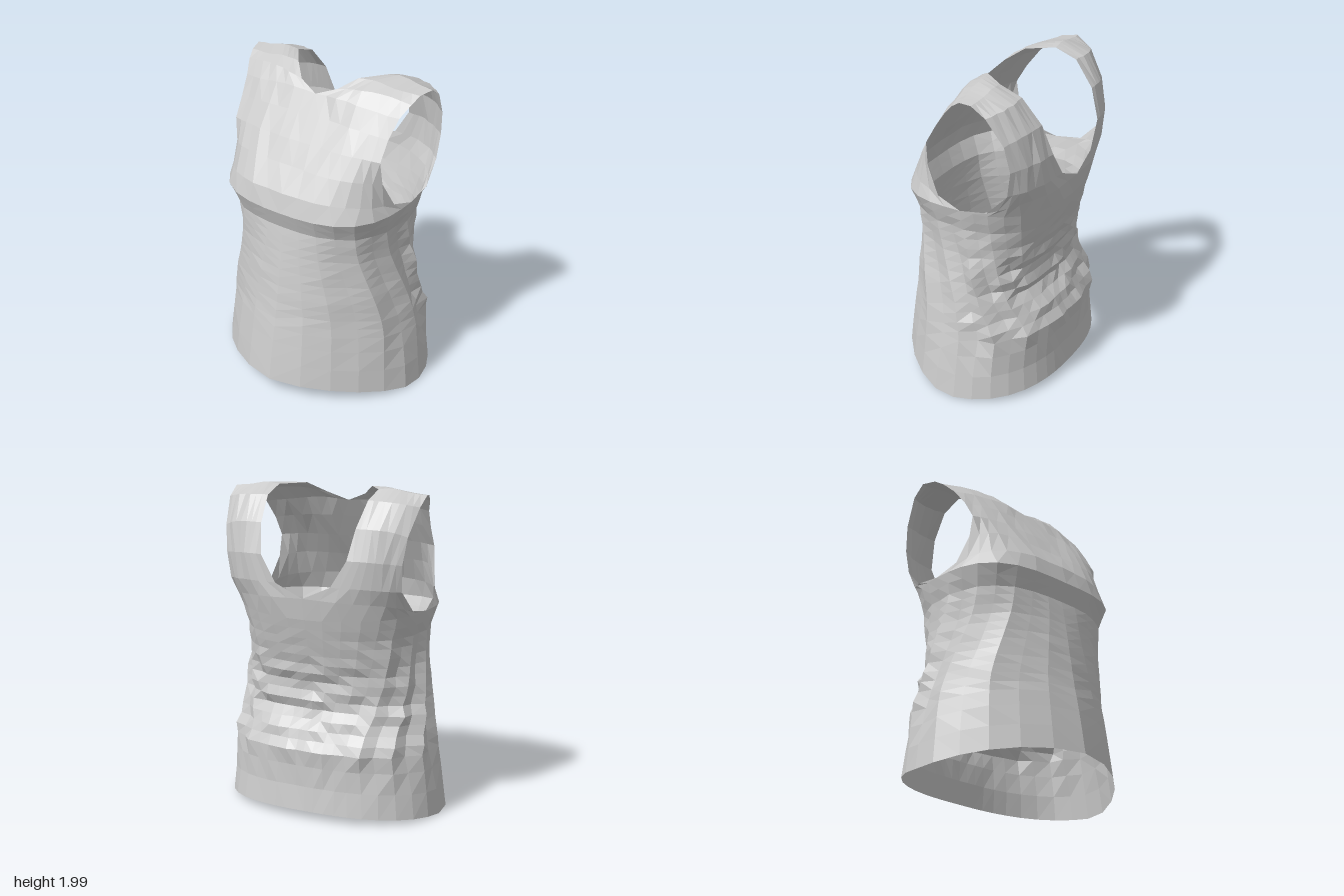
import * as THREE from 'three';

const N = 8; // columns per quarter of the body
const cloth = new THREE.MeshStandardMaterial({ color: 0xcccccc, flatShading: true, side: THREE.DoubleSide });

// Skin rows of points (bottom to top, left to right) into a mesh
function skin(name, rows, flip = false) {
  const w = rows[0].length, index = [];
  const tri = (a, b, c) => (flip ? index.push(a, c, b) : index.push(a, b, c));
  for (let i = 0; i < rows.length - 1; i++) {
    for (let j = 0; j < w - 1; j++) {
      const a = i * w + j, b = a + 1, c = a + w, d = c + 1;
      // split each quad along its shorter diagonal
      const [pa, pb] = [rows[i][j], rows[i][j + 1]], [pc, pd] = [rows[i + 1][j], rows[i + 1][j + 1]];
      if (pa.distanceTo(pd) < pb.distanceTo(pc)) { tri(a, b, d); tri(a, d, c); }
      else { tri(a, b, c); tri(b, d, c); }
    }
  }
  const g = new THREE.BufferGeometry().setFromPoints(rows.flat());
  g.setIndex(index);
  g.computeVertexNormals();
  const mesh = new THREE.Mesh(g, cloth);
  mesh.name = name;
  return mesh;
}

// Body profile, hem to bust: height, half width, front z, back z, front squareness
const profile = [
  [0.05, 0.70, 0.56, -0.56, 1.65],
  [0.25, 0.675, 0.53, -0.535, 1.7],
  [0.43, 0.645, 0.50, -0.55, 1.75],
  [0.53, 0.63, 0.48, -0.50, 1.8],
  [0.63, 0.61, 0.465, -0.435, 1.9],
  [0.80, 0.58, 0.44, -0.425, 2.0],
  [0.97, 0.555, 0.415, -0.465, 2.2],
  [1.12, 0.555, 0.39, -0.505, 2.7],
  [1.18, 0.575, 0.41, -0.52, 2.8],
  [1.24, 0.59, 0.43, -0.535, 3.0],
];

function sampleProfile(y) {
  let i = 0;
  while (i < profile.length - 2 && y > profile[i + 1][0]) i++;
  const p = profile[i], q = profile[i + 1];
  const k = THREE.MathUtils.clamp((y - p[0]) / (q[0] - p[0]), 0, 1);
  return p.map((v, n) => v + (q[n] - v) * k);
}

const bump = (v, lo, hi) => (v <= lo || v >= hi ? 0 : Math.sin(((v - lo) / (hi - lo)) * Math.PI));
const noise = (i, j) => { const s = Math.sin(i * 12.99 + j * 78.23) * 43758.55; return s - Math.floor(s) - 0.5; };

// Point on the body: t is the angle, 0 at the front, PI at the back, positive towards +x
function bodyPoint(t, y, wrinkle = 0) {
  const [, a, zf, zb, nf] = sampleProfile(y);
  const k = y / 1.24, zs = -0.04 - 0.06 * k;
  const s = Math.sin(t), c = Math.cos(t), n = c > 0 ? nf : 2.4;
  const r = (Math.abs(s) ** n + Math.abs(c) ** n) ** (-1 / n) * (1 + wrinkle);
  // the hem falls in a straight line to its low points at the sides
  const hem = (c > 0 ? 0.1 : 0.06) * Math.abs(c) - 0.045;
  return new THREE.Vector3(a * r * s, y + hem * (1 - k) + 0.03 * s * s * k ** 6, zs + (c > 0 ? zf - zs : zs - zb) * r * c);
}

// Columns sweep backwards as they go down, so the pleats fan out from the bust
const sweep = (t, y) => t + 0.55 * Math.sin(t) * THREE.MathUtils.smoothstep(1.24 - y, 0, 0.85);

// Pleats along the swept columns, and bunched wrinkles at the small of the back
function foldDepth(t, y, i, j) {
  const u = Math.abs(t), col = Math.abs(j);
  const ridge = [1, -0.7, 0.3, -1][(col + (j < 0 ? 1 : 0)) % 4];
  const pleats = bump(y, 0.22, 1.22) * bump(col, 1, 13) * ridge;
  const bunch = bump(u, 1.7, 4.58) * bump(y, 0.42, 1.05)
    * Math.sin((y + 0.1 * u + 0.03 * Math.sin(3 * t)) * 38);
  const rough = bump(y, 0.1, 1.2) * noise(i, j) * (u > 1.7 ? 0.045 : 0.008);
  return 0.045 * pleats + 0.045 * bunch + rough;
}

function lowerBody() {
  const rows = [], heights = [0.05, 0.2, 0.33];
  for (let y = 0.43; y < 1.08; y += 0.058) heights.push(y);
  heights.push(1.12, 1.18, 1.24);
  heights.forEach((y, i) => {
    const row = [];
    for (let j = -2 * N; j <= 2 * N; j++) {
      const t = sweep((j / (2 * N)) * Math.PI, y);
      const edge = i === 0 || i === heights.length - 1;
      row.push(bodyPoint(t, y, edge ? 0 : foldDepth(t, y, i, j)));
    }
    row[0].copy(row[4 * N]); // close the seam at the centre back
    rows.push(row);
  });
  return skin('lowerBody', rows);
}

// Upper half: each row runs from the centre line or neckline to the armhole
const frontRows = [
  [0, 1.36, 0.40, 0.29, 1.36, 0.375, 0.49, 1.35, 0.255, 0.57, 1.32, 0.06],
  [0, 1.50, 0.30, 0.24, 1.50, 0.30, 0.43, 1.50, 0.255, 0.54, 1.48, 0.145],
  [0, 1.63, 0.22, 0.20, 1.63, 0.22, 0.39, 1.63, 0.20, 0.53, 1.62, 0.16],
  [0, 1.77, 0.13, 0.20, 1.77, 0.13, 0.38, 1.76, 0.12, 0.535, 1.74, 0.09],
  [0, 1.88, 0.06, 0.20, 1.89, 0.06, 0.38, 1.87, 0.05, 0.555, 1.85, 0.01],
  [0.13, 1.93, 0.02, 0.27, 1.95, 0.00, 0.42, 1.95, -0.03, 0.59, 1.92, -0.06],
  [0.22, 1.99, -0.07, 0.34, 1.99, -0.09, 0.47, 1.97, -0.10, 0.61, 1.96, -0.12],
  [0.33, 1.99, -0.22, 0.42, 2.00, -0.22, 0.53, 1.98, -0.22, 0.635, 1.97, -0.21],
];
const backRows = [
  [0.33, 1.94, -0.36, 0.43, 1.94, -0.37, 0.54, 1.93, -0.35, 0.63, 1.91, -0.30],
  [0.31, 1.79, -0.48, 0.40, 1.79, -0.475, 0.51, 1.78, -0.45, 0.60, 1.75, -0.40],
  [0.28, 1.61, -0.54, 0.39, 1.61, -0.525, 0.50, 1.60, -0.48, 0.58, 1.59, -0.43],
  [0.18, 1.45, -0.55, 0.34, 1.45, -0.535, 0.49, 1.44, -0.47, 0.57, 1.43, -0.405],
  [0, 1.37, -0.555, 0.28, 1.36, -0.53, 0.50, 1.34, -0.42, 0.585, 1.30, -0.28],
];

function upperHalf(side) {
  const spline = (r) => new THREE.CatmullRomCurve3(
    [0, 3, 6, 9].map((k) => new THREE.Vector3(r[k], r[k + 1], r[k + 2]))).getPoints(N);
  const ring = (from, to) => Array.from({ length: N + 1 }, (_, j) => bodyPoint(from + ((to - from) * j) / N, 1.24));
  const rows = [
    ring(0, Math.PI / 2),
    ...frontRows.map(spline),
    ...backRows.map(spline),
    ring(Math.PI, Math.PI / 2),
  ];
  // gentle unevenness of the cloth, away from the edges
  rows.forEach((r, i) => {
    if (i > 0 && i < rows.length - 1) {
      r.forEach((p, j) => { if (j > 0 && j < N) p.z += 0.012 * noise(i + side * 5, j); });
    }
    r.forEach((p) => { p.x *= side; });
  });
  return skin(side > 0 ? 'leftChestAndStrap' : 'rightChestAndStrap', rows, side < 0);
}

export function createModel() {
  const top = new THREE.Group();
  top.name = 'sleevelessTop';
  top.add(lowerBody(), upperHalf(1), upperHalf(-1));
  return top;
}
